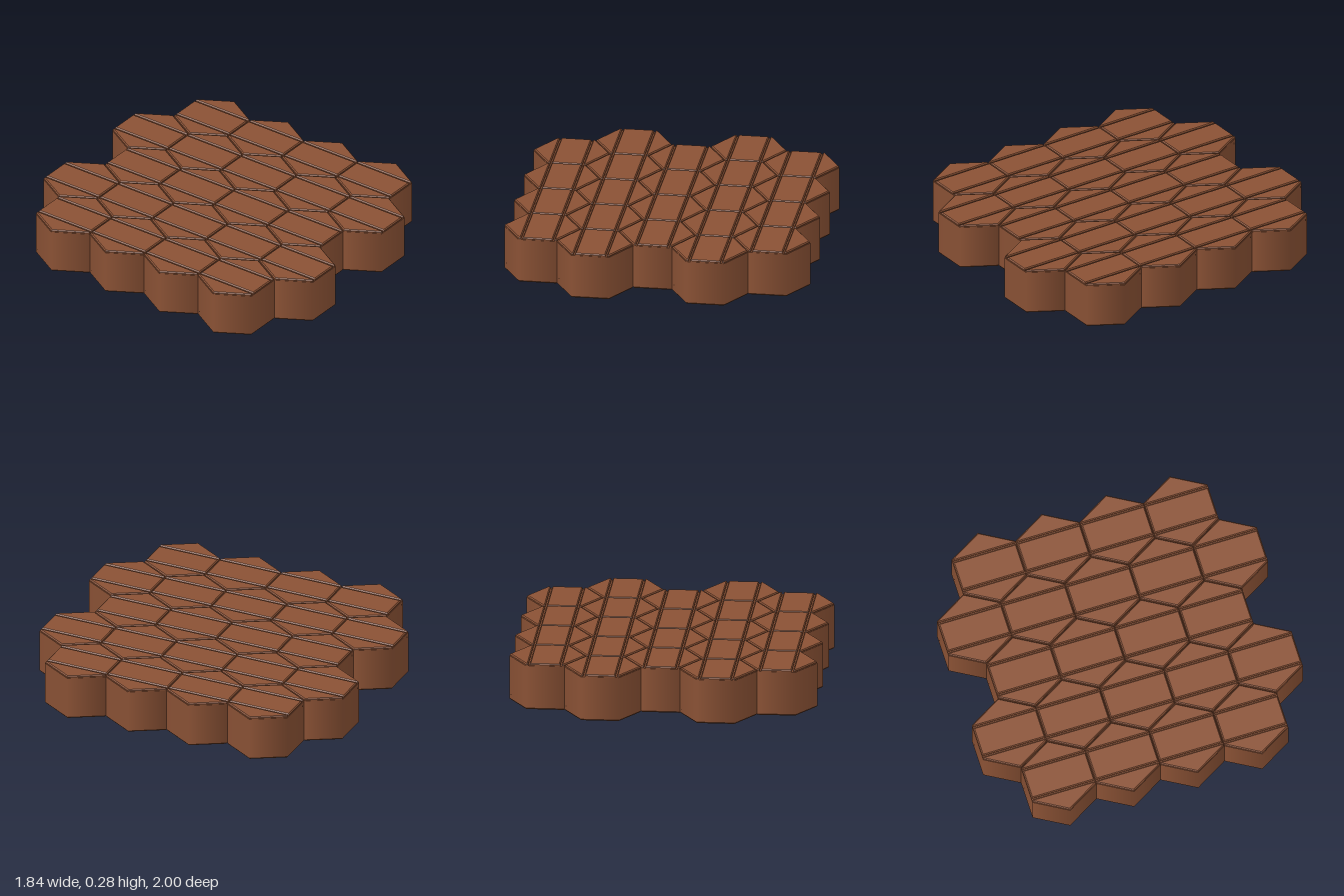
import * as THREE from 'three';

const APOTHEM = 0.2, PITCH_X = 0.3464;
const R = 0.2295;            // tile corner radius, leaving a hairline joint
const BODY_TOP = 0.272, TOP = 0.285, BEVEL = 0.006;
const GROOVE_X = 0.096, GROOVE_HALF = 0.005;

// Six-sided band with corners pointing along x
function hexBand(rTop, rBottom, y0, y1) {
  const g = new THREE.CylinderGeometry(rTop, rBottom, y1 - y0, 6, 1, true);
  g.rotateY(Math.PI / 6);
  g.translate(0, (y0 + y1) / 2, 0);
  return g;
}

function hexCap(r, y, up) {
  const g = new THREE.CircleGeometry(r, 6);
  g.rotateX(up ? -Math.PI / 2 : Math.PI / 2);
  g.translate(0, y, 0);
  return g;
}

// Slice of the hexagon between x0 and x1, as a raised board with chamfered rim
function boardGeometry(x0, x1) {
  const r = R - 0.003;
  const depth = (x) => Math.min(r * Math.sqrt(3) / 2, (r - Math.abs(x)) * Math.sqrt(3));
  const xs = [x0, -r / 2, r / 2, x1].filter((x) => x >= x0 && x <= x1);
  const upper = xs.map((x) => new THREE.Vector2(x, depth(x)));
  const lower = [...xs].reverse().map((x) => new THREE.Vector2(x, -depth(x)));
  const points = [...lower, ...upper].filter((p, i, a) => p.distanceTo(a[(i + 1) % a.length]) > 1e-5);
  const g = new THREE.ExtrudeGeometry(new THREE.Shape(points), {
    depth: TOP - BODY_TOP - BEVEL, bevelEnabled: true, bevelThickness: BEVEL,
    bevelSize: BEVEL, bevelOffset: -BEVEL, bevelSegments: 1,
  });
  g.rotateX(-Math.PI / 2);
  g.translate(0, BODY_TOP, 0);
  return g;
}

export function createModel() {
  const model = new THREE.Group();
  model.name = 'hexTileFloor';
  const wood = new THREE.MeshStandardMaterial({ color: 0x8b5235 });
  wood.name = 'brown wood';

  // Geometry shared by every tile
  const r = R - 0.003;
  const inner = GROOVE_X - GROOVE_HALF, outer = GROOVE_X + GROOVE_HALF;
  const parts = [
    ['bottomChamfer', hexBand(R, R - 0.008, 0, 0.008)],
    ['sideWall', hexBand(R, R, 0.008, BODY_TOP)],
    ['bottomFace', hexCap(R - 0.008, 0, false)],
    ['grooveFloor', hexCap(R, BODY_TOP, true)],
    ['middleBoard', boardGeometry(-inner, inner)],
    ['leftBoard', boardGeometry(outer, r)],
    ['rightBoard', boardGeometry(-r, -outer)],
  ];

  // Five staggered columns of tiles
  [4, 5, 4, 5, 4].forEach((count, column) => {
    for (let row = 0; row < count; row++) {
      const tile = new THREE.Group();
      tile.name = `tile_${column + 1}_${row + 1}`;
      for (const [name, geometry] of parts) {
        const mesh = new THREE.Mesh(geometry, wood);
        mesh.name = name;
        tile.add(mesh);
      }
      tile.position.set((column - 2) * PITCH_X, 0, (row - (count - 1) / 2) * 2 * APOTHEM);
      model.add(tile);
    }
  });
  return model;
}
